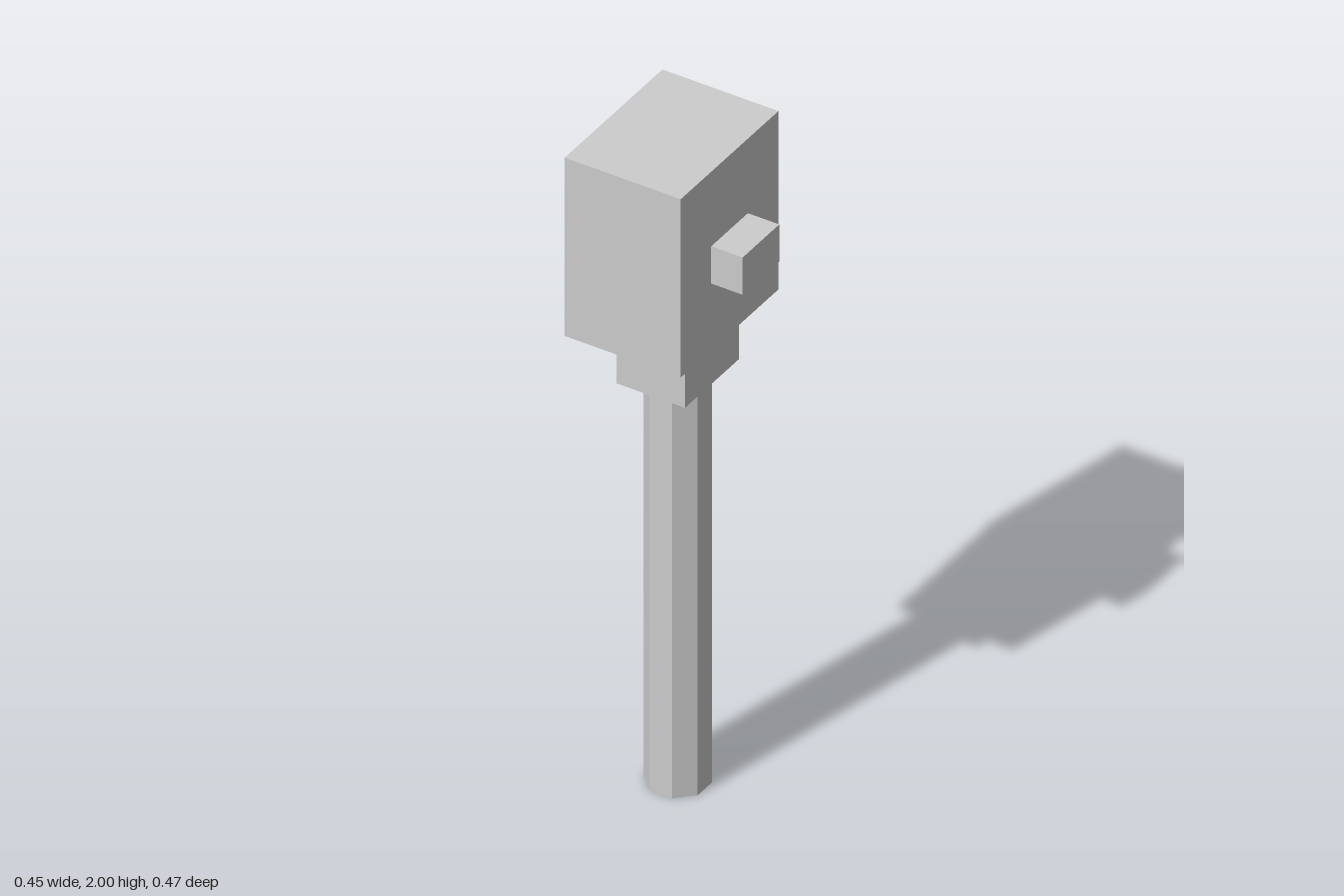
import * as THREE from 'three';

export function createModel() {
  const model = new THREE.Group();
  model.name = 'blockHeadedPost';

  const grey = new THREE.MeshStandardMaterial({ color: 0xcccccc });
  grey.name = 'lightGrey';
  grey.flatShading = true;

  function add(name, geometry, x, y) {
    const mesh = new THREE.Mesh(geometry, grey);
    mesh.name = name;
    mesh.position.set(x, y, 0);
    model.add(mesh);
  }

  // Box spanning x0..x1 and y0..y1, centred on z
  function addBox(name, x0, x1, y0, y1, depth) {
    add(name, new THREE.BoxGeometry(x1 - x0, y1 - y0, depth), (x0 + x1) / 2, (y0 + y1) / 2);
  }

  // Octagonal shaft with flat sides facing the axes
  const axisX = -0.029;
  const shaftHeight = 1.27;
  const radius = 0.082 / Math.cos(Math.PI / 8);
  add('shaft',
    new THREE.CylinderGeometry(radius, radius, shaftHeight, 8, 1, false, Math.PI / 8),
    axisX, shaftHeight / 2);

  // Collar, head block and the small stub on its side
  addBox('collar', -0.132, 0.075, shaftHeight, 1.445, 0.26);
  addBox('head', -0.223, 0.128, 1.445, 2, 0.469);
  addBox('sideStub', 0.128, 0.223, 1.652, 1.768, 0.176);

  return model;
}
